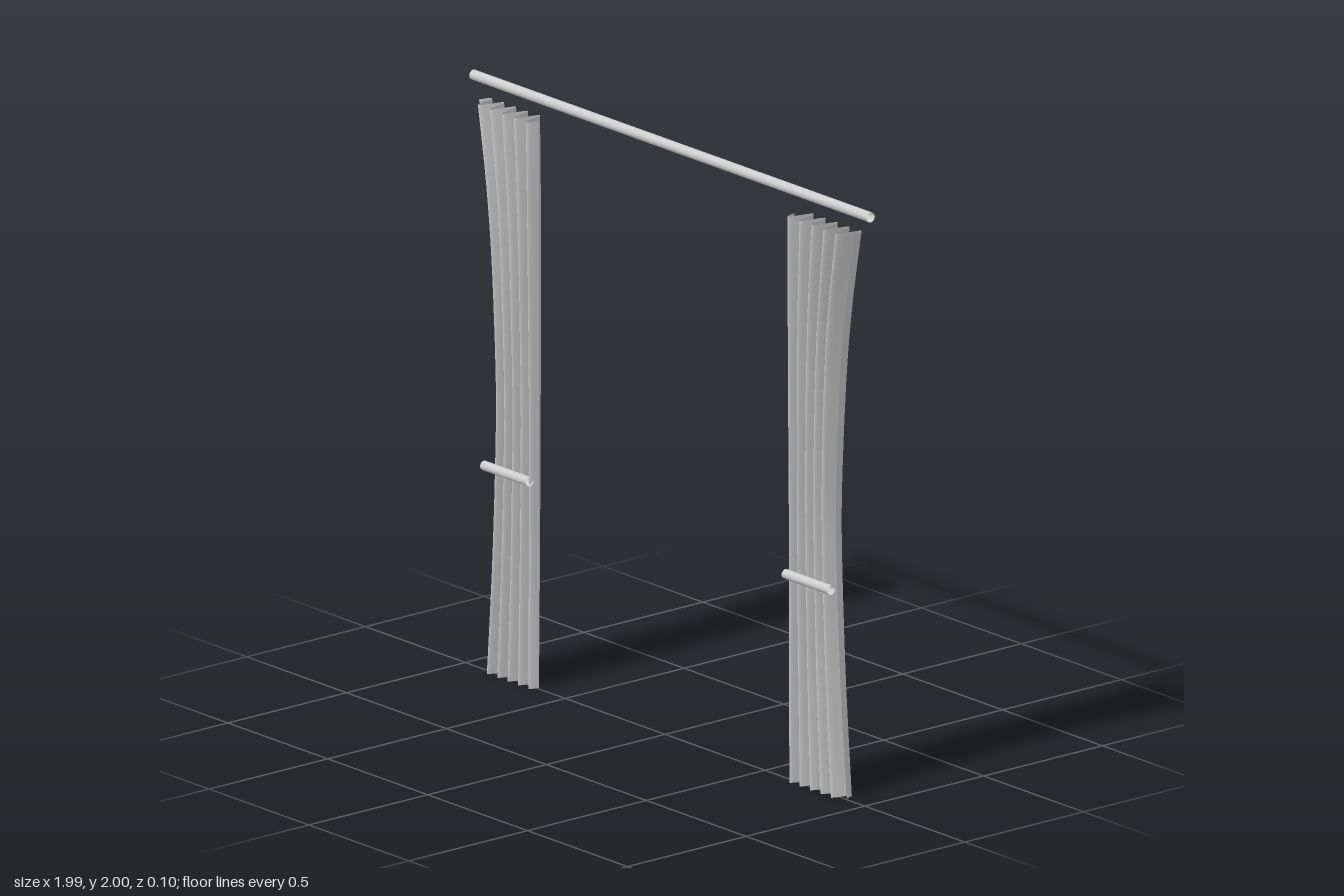
import * as THREE from 'three';

const INNER = 0.64, TOP = 1.917, PLEATS = 5;

// Outer edge of a curtain, drawn in around the tie
const outerEdge = new THREE.SplineCurve([
  [0.9, 0], [0.868, 0.4], [0.849, 0.8], [0.848, 1.05], [0.866, 1.4], [0.895, 1.66], [0.94, TOP],
].map(([x, y]) => new THREE.Vector2(x, y)));

// Pleated sheet: a grid whose depth follows a sine wave, gathered between the two edges
function curtainGeometry(side) {
  const geo = new THREE.PlaneGeometry(1, 1, PLEATS * 16, 28);
  const pos = geo.attributes.position;
  for (let i = 0; i < pos.count; i++) {
    const u = side * pos.getX(i) + 0.5; // 0 at the inner edge, 1 at the outer edge
    const edge = outerEdge.getPoint(pos.getY(i) + 0.5);
    const depth = 0.033 + 0.0095 * Math.max(0, (edge.y - 0.9) / (TOP - 0.9));
    const x = THREE.MathUtils.lerp(INNER, edge.x, u);
    pos.setXYZ(i, side * x, edge.y, -0.007 + depth * Math.sin(u * PLEATS * Math.PI * 2));
  }
  geo.computeVertexNormals();
  return geo;
}

// Open horizontal tube along x
function bar(name, radius, length, x, y, z, material) {
  const geo = new THREE.CylinderGeometry(radius, radius, length, 24, 1, true);
  geo.rotateZ(Math.PI / 2);
  const mesh = new THREE.Mesh(geo, material);
  mesh.name = name;
  mesh.position.set(x, y, z);
  return mesh;
}

export function createModel() {
  const grey = new THREE.MeshStandardMaterial({ color: 0xcccccc, side: THREE.DoubleSide });
  grey.name = 'light grey';

  const model = new THREE.Group();
  model.name = 'curtains';
  model.add(bar('curtainRod', 0.017, 1.99, 0, 1.983, -0.029, grey));

  for (const [label, side] of [['left', 1], ['right', -1]]) {
    const curtain = new THREE.Mesh(curtainGeometry(side), grey);
    curtain.name = label + 'Curtain';
    model.add(curtain);
    model.add(bar(label + 'TieBar', 0.016, 0.229, side * 0.7545, 0.705, 0.032, grey));
  }
  return model;
}
